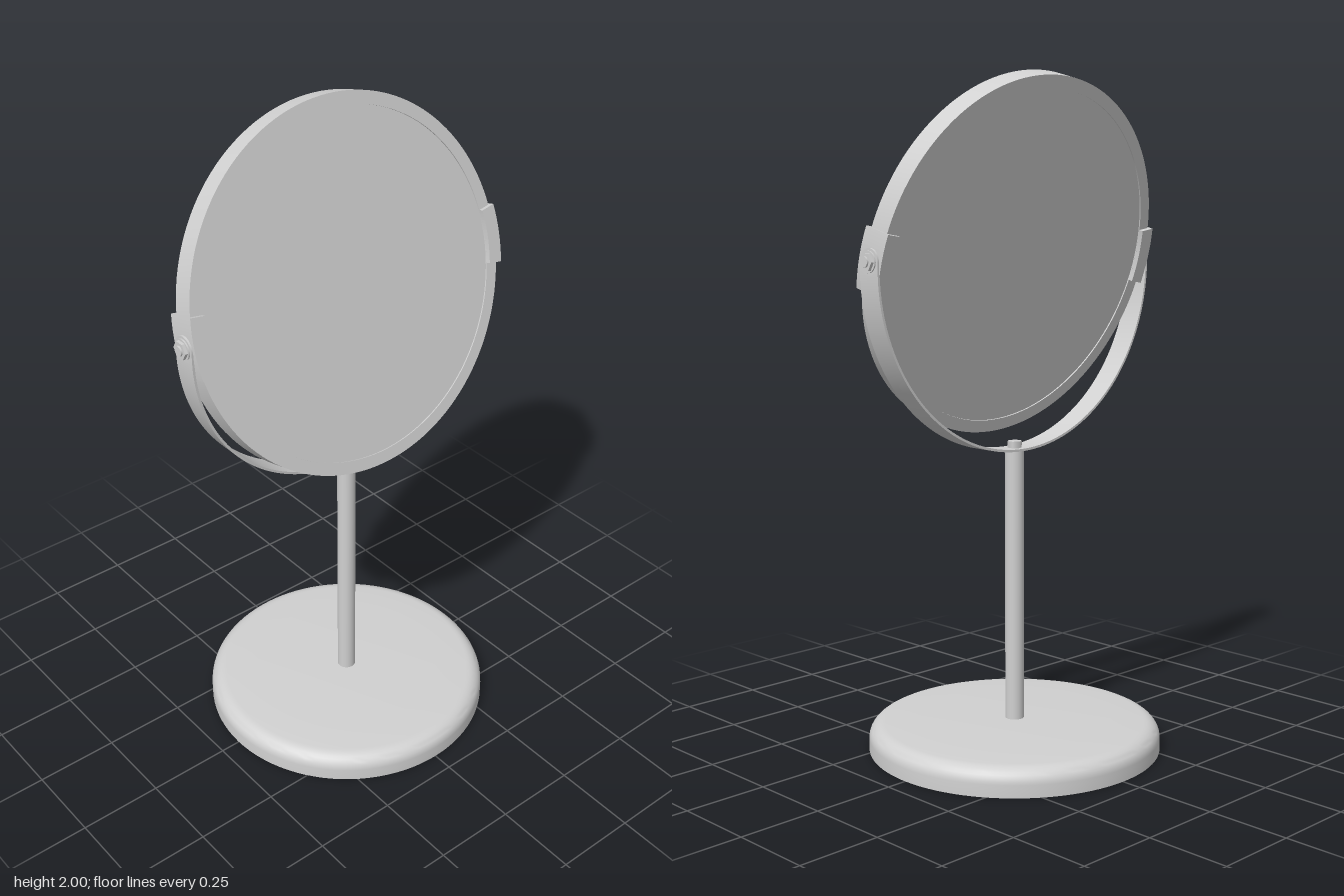
import * as THREE from 'three';
import { toCreasedNormals } from 'three/addons/utils/BufferGeometryUtils.js';

const PIVOT_Y = 1.474;              // height of the tilt axis
const TILT = THREE.MathUtils.degToRad(15);

export function createModel() {
  const metal = new THREE.MeshStandardMaterial({ color: 0xd0d0d0 });
  metal.name = 'pale grey metal';

  const model = new THREE.Group();
  model.name = 'tableMirror';

  const add = (parent, name, geometry, x = 0, y = 0, z = 0) => {
    const mesh = new THREE.Mesh(geometry, metal);
    mesh.name = name;
    mesh.position.set(x, y, z);
    parent.add(mesh);
    return mesh;
  };

  // Revolved profile with crisp edges
  const lathe = (points, segments = 96) => toCreasedNormals(
    new THREE.LatheGeometry(points.map(p => new THREE.Vector2(...p)), segments), 0.5);

  // Shape extruded symmetrically about z = 0
  const slab = (shape, depth) => {
    const g = new THREE.ExtrudeGeometry(shape, { depth, bevelEnabled: false, curveSegments: 64 });
    g.translate(0, 0, -depth / 2);
    return toCreasedNormals(g, 0.5);
  };

  // Quarter-round points from the outer wall towards the top (or back again)
  const fillet = (cx, cy, rx, ry, reverse = false) => {
    const pts = [];
    for (let i = 0; i <= 8; i++) {
      const a = (i / 8) * Math.PI / 2;
      pts.push([cx + rx * Math.cos(a), cy + ry * Math.sin(a)]);
    }
    return reverse ? pts.reverse() : pts;
  };

  // Hollow, slightly domed base
  add(model, 'base', lathe([
    [0, 0.075], [0.29, 0.074],
    ...fillet(0.386, 0.036, 0.04, 0.034, true),
    [0.426, 0], [0.438, 0],
    ...fillet(0.39, 0.037, 0.048, 0.045),
    [0.29, 0.087], [0, 0.087],
  ]));

  // Fixing under the base
  add(model, 'baseWasher', new THREE.CylinderGeometry(0.094, 0.094, 0.01, 48), 0, 0.071, 0);
  add(model, 'baseScrew', new THREE.CylinderGeometry(0.025, 0.025, 0.012, 24), 0, 0.064, 0);

  // Post, and the screw that holds the yoke on it
  add(model, 'post', new THREE.CylinderGeometry(0.028, 0.028, 0.825, 32), 0, 0.495, 0);
  add(model, 'yokeScrew', new THREE.CylinderGeometry(0.022, 0.022, 0.02, 6), 0, 0.922, 0);

  // Thin half-round yoke with short straight ends
  const yokeY = 1.453, outer = 0.548, inner = 0.541, rise = PIVOT_Y - yokeY;
  const yoke = new THREE.Shape();
  yoke.moveTo(-outer, rise);
  yoke.lineTo(-outer, 0);
  yoke.absarc(0, 0, outer, Math.PI, Math.PI * 2, false);
  yoke.lineTo(outer, rise);
  yoke.lineTo(inner, rise);
  yoke.lineTo(inner, 0);
  yoke.absarc(0, 0, inner, Math.PI * 2, Math.PI, true);
  yoke.lineTo(-inner, rise);
  add(model, 'yoke', slab(yoke, 0.074), 0, yokeY, 0);

  // Tilting head
  const head = new THREE.Group();
  head.name = 'mirrorHead';
  head.position.y = PIVOT_Y;
  head.rotation.x = -TILT;
  model.add(head);

  add(head, 'mirrorFrame', lathe([
    [0.498, -0.033], [0.535, -0.033], [0.535, 0.033], [0.498, 0.033], [0.498, -0.033],
  ], 128)).rotation.x = Math.PI / 2;
  add(head, 'mirrorGlass', new THREE.CylinderGeometry(0.499, 0.499, 0.058, 128)).rotation.x = Math.PI / 2;

  // Curved segment of a ring for the clips
  const sector = (r0, r1, half) => {
    const s = new THREE.Shape();
    s.absarc(0, 0, r1, -half, half, false);
    s.absarc(0, 0, r0, half, -half, true);
    s.closePath();
    return s;
  };

  for (const [side, label] of [[1, 'left'], [-1, 'right']]) {
    // Channel clip gripping the rim
    const clip = new THREE.Group();
    clip.name = label + 'RimClip';
    clip.rotation.z = side > 0 ? 0 : Math.PI;
    head.add(clip);
    add(clip, 'clipWall', slab(sector(0.534, 0.543, 0.162), 0.093));
    for (const z of [-0.0397, 0.0397]) {
      add(clip, 'clipLip', slab(sector(0.498, 0.543, 0.162), 0.0136), 0, 0, z);
    }

    // Rounded yoke end and pivot bolt, stacked outwards
    const stack = [
      ['YokeEnd', 0.037, 0.541, 0.548, 32],
      ['PivotWasher', 0.03, 0.548, 0.552, 32],
      ['PivotNut', 0.027, 0.552, 0.561, 6],
      ['PivotTip', 0.015, 0.561, 0.566, 20],
    ];
    for (const [name, r, x0, x1, n] of stack) {
      const part = add(model, label + name, new THREE.CylinderGeometry(r, r, x1 - x0, n),
        side * (x0 + x1) / 2, PIVOT_Y, 0);
      part.rotation.z = Math.PI / 2;
      if (n === 6) part.geometry = toCreasedNormals(part.geometry, 0.5);
    }
  }

  return model;
}
